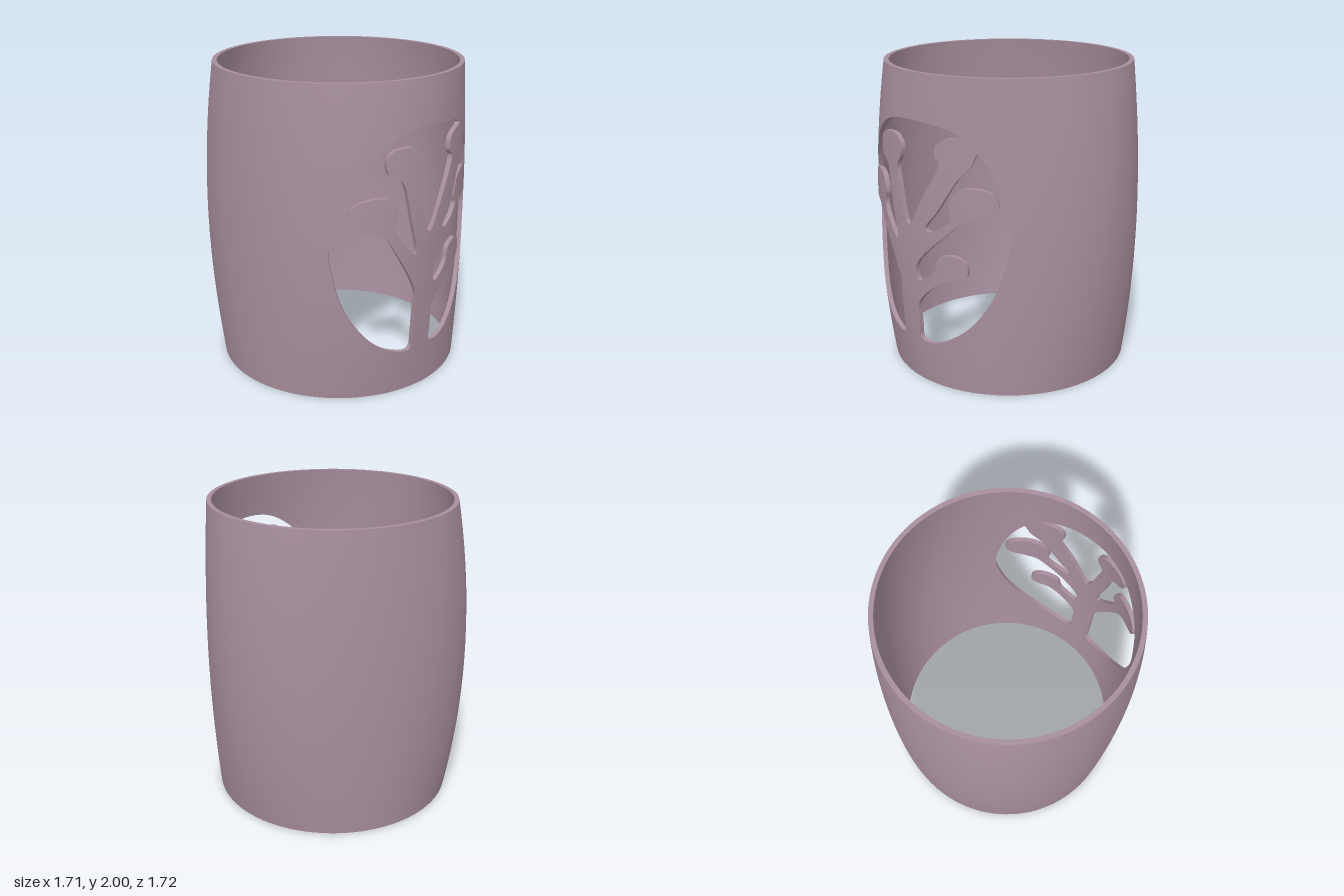
import * as THREE from 'three';

const WALL = 0.03, UNROLL = 0.85, MAX_EDGE = 0.07, HEIGHT = 2;

// Outer radius: round at both ends, bulging to a soft three-lobed section halfway up
const bulge = (y) => 1 - (y - 1) ** 2;
const radius = (a, y) => 0.795 + bulge(y) * (0.06 - 0.025 * Math.sin(3 * a));
const CX = -0.025;

// Unrolled (s, y, depth) to the curved wall; depth 0 is the inner face
function wrap(s, y, d) {
  const a = s / UNROLL, r = radius(a, y) - WALL + d;
  return new THREE.Vector3(CX + r * Math.sin(a), y, 0.01 * (1 - bulge(y)) + r * Math.cos(a));
}

// Smooth outward normal of the wall
function wallNormal(s, y, d) {
  const e = 0.001;
  const ds = wrap(s + e, y, d).sub(wrap(s - e, y, d));
  const dy = wrap(s, y + e, d).sub(wrap(s, y - e, d));
  return ds.cross(dy).normalize();
}

// Angle at which the outer face has a given x
function unrollX(x, y) {
  let a = 0;
  for (let i = 0; i < 20; i++) a = Math.asin((x - CX) / radius(a, y));
  return a * UNROLL;
}

// Closed smooth cutout from points in hundredths, moved to the unrolled sheet
function cutout(pts) {
  const v = [];
  for (let i = 0; i < pts.length; i += 2) v.push(new THREE.Vector3(pts[i] / 100, pts[i + 1] / 100, 0));
  const curve = new THREE.CatmullRomCurve3(v, true, 'centripetal');
  const loop = curve.getPoints(v.length * 4).slice(0, -1);
  return new THREE.Path(loop.map((p) => new THREE.Vector2(unrollX(p.x, p.y), p.y)));
}

// Opening left of the trunk and over the crown: rim first, then back along the branches
const leftOpening = [
  -18, 29, -31, 32, -41.5, 38.5, -51, 50, -58.5, 65, -63, 83.5, -65, 101, -62.5, 118,
  -58.5, 133, -52, 145.5, -43.5, 157, -35, 164, -25.5, 169, -14, 171.5, 1, 172, 14, 171,
  24.5, 169, 30, 166.5, 28.5, 165, 21, 163, 16.5, 159.5, 15.5, 152.5, 18.5, 149, 18, 146,
  6, 124.5, -3, 108.5, -5.5, 107, -7.5, 109, -13.5, 132.5, -15.5, 141.5, -11.5, 149.5,
  -11.5, 156, -17, 161, -24, 161.5, -31, 160.5, -36, 156, -35, 147, -28, 142.5, -25.5, 140,
  -20.5, 117, -16, 97, -17, 95, -20.5, 97.5, -31, 112, -31.5, 116, -29.5, 122.5, -34, 132,
  -44, 133.5, -53.5, 130, -56.5, 124, -52.5, 115, -44, 112.5, -38, 109.5, -31, 98.5,
  -17.5, 74.5, -15.5, 68.5, -15.5, 62, -15.5, 38, -15.5, 32,
];

// Opening right of the trunk: rim first, then down the two right-hand branches
const rightOpening = [
  0, 38, 0, 32, 3, 29.3, 12.5, 30, 22, 34.5, 32.5, 42.5, 42, 54.5, 49.5, 69.5, 54, 83.5,
  57, 101, 56, 115.5, 53, 130, 48.5, 143.5, 43.5, 153, 40.5, 156.5, 39, 153, 37, 148,
  30, 140, 16.5, 118, 8.5, 107.5, 10, 105, 15.5, 106.5, 25.5, 115, 24.5, 121, 26, 130,
  32.5, 134.5, 40, 135.5, 48.5, 132.5, 51.5, 125, 48.5, 118.5, 38, 115.5, 32.5, 114,
  24.5, 106.5, 3.5, 86, 0, 80, 0.5, 73, 2.5, 71.5, 13, 78.5, 15, 82, 17, 89, 22.5, 91.5,
  29, 91.5, 34, 88, 35, 81, 30.5, 76.5, 24, 75.5, 19.5, 73.5, 5, 61.5, 1, 56, 0, 52, 0, 47,
];

function barrelGeometry() {
  // Flat sheet with both openings, given thickness
  const half = Math.PI * UNROLL;
  const sheet = new THREE.Shape([
    new THREE.Vector2(-half, 0), new THREE.Vector2(half, 0),
    new THREE.Vector2(half, HEIGHT), new THREE.Vector2(-half, HEIGHT),
  ]);
  sheet.holes.push(cutout(leftOpening), cutout(rightOpening));
  const flat = new THREE.ExtrudeGeometry(sheet, { depth: WALL, bevelEnabled: false, steps: 1 });

  const positions = [], normals = [];
  const emit = (tri) => {
    const p = tri.map((v) => wrap(v.x, v.y, v.z));
    const isFace = tri.every((v) => Math.abs(v.z - tri[0].z) < 1e-6);
    const edgeNormal = p[1].clone().sub(p[0]).cross(p[2].clone().sub(p[0])).normalize();
    tri.forEach((v, i) => {
      const n = isFace ? wallNormal(v.x, v.y, v.z) : edgeNormal;
      const sign = isFace && v.z < WALL / 2 ? -1 : 1;
      positions.push(p[i].x, p[i].y, p[i].z);
      normals.push(n.x * sign, n.y * sign, n.z * sign);
    });
  };
  // Halve the longest edge until the sheet is fine enough to bend
  const split = (a, b, c) => {
    const ab = a.distanceTo(b), bc = b.distanceTo(c), ca = c.distanceTo(a);
    const longest = Math.max(ab, bc, ca);
    if (longest <= MAX_EDGE) return emit([a, b, c]);
    if (bc === longest) [a, b, c] = [b, c, a];
    else if (ca === longest) [a, b, c] = [c, a, b];
    const m = a.clone().add(b).multiplyScalar(0.5);
    split(a, m, c);
    split(m, b, c);
  };
  // Leave out the two end walls that meet at the back seam
  const pos = flat.attributes.position;
  for (let i = 0; i < pos.count; i += 3) {
    const tri = [0, 1, 2].map((k) => new THREE.Vector3().fromBufferAttribute(pos, i + k));
    const onSeam = [-half, half].some((end) => tri.every((v) => Math.abs(v.x - end) < 1e-5));
    if (!onSeam) split(...tri);
  }
  const geo = new THREE.BufferGeometry();
  geo.setAttribute('position', new THREE.Float32BufferAttribute(positions, 3));
  geo.setAttribute('normal', new THREE.Float32BufferAttribute(normals, 3));
  return geo;
}

export function createModel() {
  const group = new THREE.Group();
  group.name = 'openworkSleeve';
  const mauve = new THREE.MeshStandardMaterial({ color: 0xa88e9d });
  mauve.name = 'mauve';
  const barrel = new THREE.Mesh(barrelGeometry(), mauve);
  barrel.name = 'barrelWithTreeCutout';
  group.add(barrel);
  return group;
}
